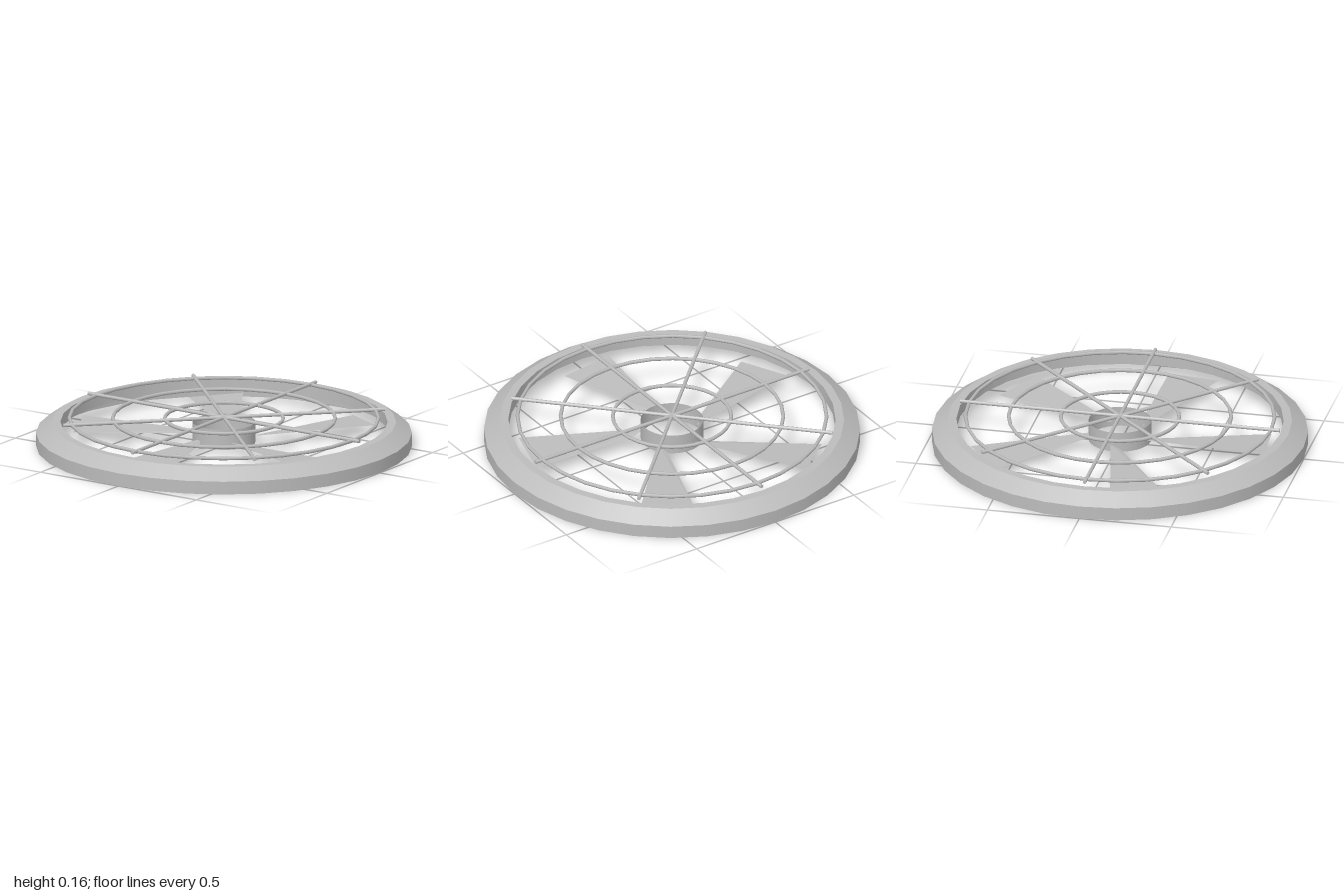
import * as THREE from 'three';

const SEGMENTS = 32;

export function createModel() {
  const model = new THREE.Group();
  const metal = new THREE.MeshStandardMaterial({ color: 0xbcbcbc, side: THREE.DoubleSide });
  metal.name = 'grey metal';

  const add = (name, geometry, parent = model) => {
    const mesh = new THREE.Mesh(geometry, metal);
    mesh.name = name;
    parent.add(mesh);
    return mesh;
  };
  const addGroup = (name) => {
    const group = new THREE.Group();
    group.name = name;
    model.add(group);
    return group;
  };

  // Housing: open shell, one band per profile segment for crisp edges
  const housing = addGroup('housing');
  const profile = [[1, 0], [1, 0.07], [0.915, 0.13], [0.87, 0.13], [0.87, 0.065]]
    .map(([r, y]) => new THREE.Vector2(r, y));
  const bands = ['outerWall', 'bevel', 'topLip', 'innerFlange'];
  bands.forEach((name, i) =>
    add(name, new THREE.LatheGeometry([profile[i], profile[i + 1]], SEGMENTS), housing));

  // Hub: open sleeve
  const hub = add('hub', new THREE.CylinderGeometry(0.167, 0.167, 0.11, SEGMENTS, 1, true));
  hub.position.y = 0.075;

  // Fan blades: slightly pitched flat quads
  const blades = addGroup('fanBlades');
  const bladeGeometry = new THREE.BufferGeometry();
  bladeGeometry.setAttribute('position', new THREE.Float32BufferAttribute([
    -0.065, 0.055, 0.135,
    -0.13, 0.07, 0.81,
    0.163, 0.053, 0.79,
    -0.012, 0.048, 0.21,
  ], 3));
  bladeGeometry.setIndex([0, 1, 2, 0, 2, 3]);
  const flatBlade = bladeGeometry.toNonIndexed();
  flatBlade.computeVertexNormals();
  for (let i = 0; i < 5; i++) {
    add('blade', flatBlade, blades).rotation.y = (i * Math.PI * 2) / 5;
  }

  // Guard: concentric rings and crossing rods
  const guard = addGroup('guard');
  for (const radius of [0.315, 0.592, 0.822]) {
    const ring = add('guardRing', new THREE.TorusGeometry(radius, 0.01, 6, SEGMENTS), guard);
    ring.rotation.x = Math.PI / 2;
    ring.position.y = 0.15;
  }
  for (let i = 0; i < 4; i++) {
    const rod = new THREE.CylinderGeometry(0.01, 0.01, 1.74, 8);
    rod.rotateZ(Math.PI / 2);
    const mesh = add('guardRod', rod, guard);
    mesh.rotation.y = (i * Math.PI) / 4;
    mesh.position.y = 0.154;
  }

  return model;
}
